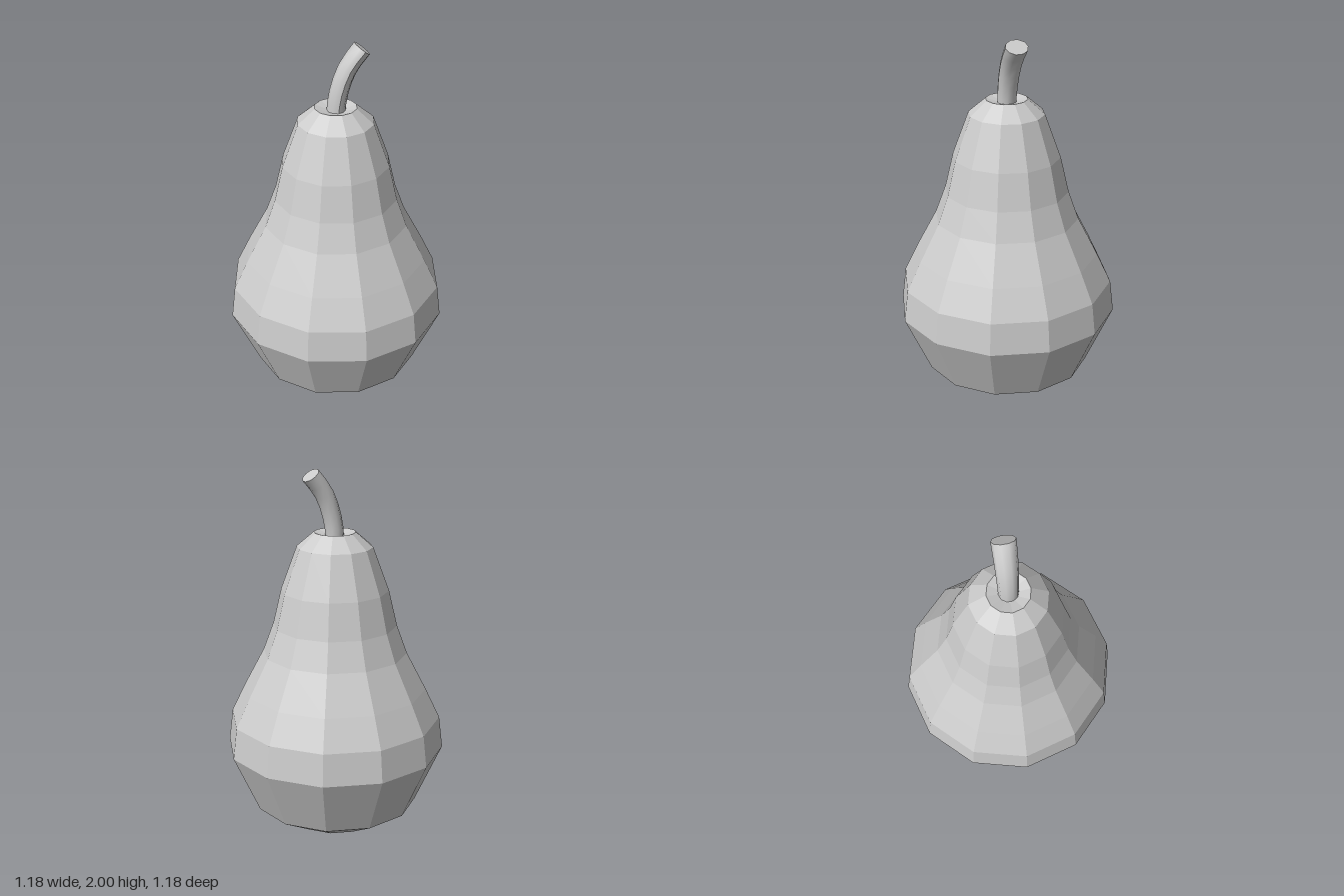
import * as THREE from 'three';

const SIDES = 12;

// Faceted fruit body, profile from the base point up to the dimple under the stem
function createBody(material) {
  const profile = [
    [0, 0], [0.235, 0.05], [0.445, 0.17], [0.588, 0.49], [0.567, 0.66],
    [0.49, 0.82], [0.385, 1.02], [0.33, 1.17], [0.285, 1.36],
    [0.2, 1.59], [0.11, 1.667], [0.05, 1.65], [0, 1.65],
  ].map(([r, y]) => new THREE.Vector2(r, y));
  const body = new THREE.Mesh(new THREE.LatheGeometry(profile, SIDES), material);
  body.name = 'fruitBody';
  return body;
}

// Stem: a capped cylinder bent along a curve that leans to +x and flares at the tip
function createStem(material) {
  const curve = new THREE.CatmullRomCurve3([
    [0, 1.62], [0.004, 1.68], [0.025, 1.78], [0.067, 1.88], [0.135, 1.967],
  ].map(([x, y]) => new THREE.Vector3(x, y, 0)));
  const geometry = new THREE.CylinderGeometry(1, 1, 1, 10, 6);
  const position = geometry.attributes.position;
  for (let i = 0; i < position.count; i++) {
    const t = position.getY(i) + 0.5;
    const centre = curve.getPointAt(t);
    const tangent = curve.getTangentAt(t);
    const across = position.getX(i) * 0.048;
    const depth = position.getZ(i) * (0.05 + 0.011 * t);
    position.setXYZ(i, centre.x + tangent.y * across, centre.y - tangent.x * across, depth);
  }
  geometry.computeVertexNormals();
  const stem = new THREE.Mesh(geometry, material);
  stem.name = 'stem';
  return stem;
}

export function createModel() {
  const bodyGrey = new THREE.MeshStandardMaterial({ color: 0xcccccc, flatShading: true });
  bodyGrey.name = 'light grey';
  const stemGrey = new THREE.MeshStandardMaterial({ color: 0xcccccc });
  stemGrey.name = 'light grey smooth';

  const pear = new THREE.Group();
  pear.name = 'pear';
  pear.add(createBody(bodyGrey), createStem(stemGrey));
  return pear;
}
